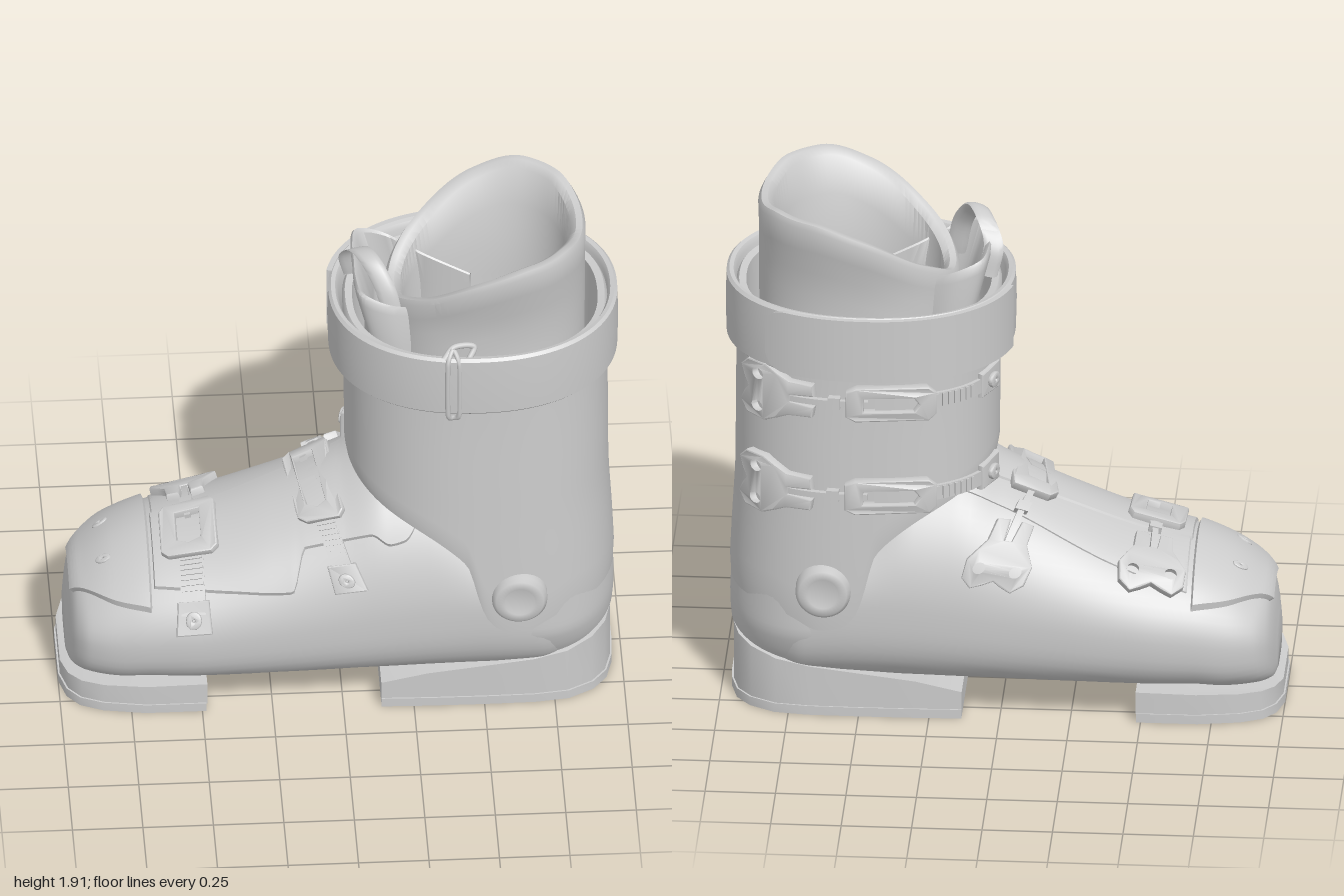
import * as THREE from 'three';
import { toCreasedNormals } from 'three/addons/utils/BufferGeometryUtils.js';

const mat = new THREE.MeshStandardMaterial({ color: 0xcccccc, side: THREE.DoubleSide });
const DEG = Math.PI / 180;
const V = (x, y, z) => new THREE.Vector3(x, y, z);

// Smooth monotone interpolation of table rows [key, value, value, ...]
const curve = rows => x => {
  x = THREE.MathUtils.clamp(x, rows[0][0], rows.at(-1)[0]);
  let i = 0;
  while (i < rows.length - 2 && x > rows[i + 1][0]) i++;
  const h = rows[i + 1][0] - rows[i][0], t = (x - rows[i][0]) / h;
  const d = (k, c) => rows[k] && rows[k + 1] ? (rows[k + 1][c] - rows[k][c]) / (rows[k + 1][0] - rows[k][0]) : null;
  const slope = (k, c) => {
    const a = d(k - 1, c) ?? d(k, c), b = d(k, c) ?? a;
    return a * b <= 0 ? 0 : 2 * a * b / (a + b);
  };
  return rows[i].slice(1).map((p, n) => {
    const c = n + 1, q = rows[i + 1][c];
    return p + (q - p) * t * t * (3 - 2 * t) + h * t * (1 - t) * (slope(i, c) * (1 - t) - slope(i + 1, c) * t);
  });
};

// Grid of points fn(i, j), optionally closed round j
function grid(nu, nv, fn, closed = false) {
  const pos = [], idx = [], cols = closed ? nv : nv + 1;
  for (let i = 0; i <= nu; i++) for (let j = 0; j < cols; j++) pos.push(...fn(i, j).toArray());
  for (let i = 0; i < nu; i++) for (let j = 0; j < nv; j++) {
    const k = (j + 1) % cols, a = i * cols + j, b = a + cols, c = (i + 1) * cols + k, e = i * cols + k;
    idx.push(a, b, c, a, c, e);
  }
  const g = new THREE.BufferGeometry();
  g.setAttribute('position', new THREE.Float32BufferAttribute(pos, 3));
  g.setIndex(idx);
  return toCreasedNormals(g, 0.75);
}

const polar = (a, b, n, t) => (Math.abs(Math.cos(t) / a) ** n + Math.abs(Math.sin(t) / b) ** n) ** (-1 / n);

// Lower shell sections: x, bottom, widest height, top, half width
const X0 = -0.972, X1 = 0.92;
const shellAt = curve([
  [X0, 0.11, 0.19, 0.29, 0.13], [-0.958, 0.09, 0.24, 0.37, 0.2], [-0.94, 0.09, 0.27, 0.425, 0.25],
  [-0.9, 0.09, 0.29, 0.465, 0.3], [-0.8, 0.09, 0.3, 0.535, 0.345], [-0.68, 0.10, 0.32, 0.585, 0.372],
  [-0.5, 0.10, 0.34, 0.63, 0.393], [-0.25, 0.10, 0.37, 0.73, 0.40], [0, 0.10, 0.4, 0.85, 0.40],
  [0.15, 0.10, 0.42, 0.93, 0.40], [0.32, 0.10, 0.44, 0.94, 0.40], [0.5, 0.10, 0.45, 0.8, 0.40],
  [0.7, 0.10, 0.42, 0.65, 0.385], [0.8, 0.10, 0.4, 0.6, 0.32], [0.87, 0.12, 0.38, 0.55, 0.22], [X1, 0.15, 0.36, 0.5, 0.1]]);
function shell(x, phi) {
  const [y0, yc, yt, w] = shellAt(x), up = Math.sin(phi) >= 0;
  const r = polar(w, up ? yt - yc : yc - y0, up ? 1.88 : 3.2, phi);
  return V(x, yc + r * Math.sin(phi), r * Math.cos(phi));
}
// Upright ovals: height, centre x, radius x, radius z
const oval = (rows, n) => {
  const at = curve(rows);
  return (y, th, off = 0) => {
    const [cx, rx, rz] = at(y), r = polar(rx + off, rz + off, n, th);
    return V(cx + r * Math.cos(th), y, r * Math.sin(th));
  };
};
const cuff = oval([[0.35, 0.49, 0.493, 0.425], [0.6, 0.49, 0.482, 0.42], [0.92, 0.49, 0.467, 0.412],
  [1.35, 0.487, 0.467, 0.402], [1.6, 0.485, 0.47, 0.4]], 2.4);
const heelCup = oval([[0.1, 0.66, 0.27, 0.26], [0.18, 0.66, 0.295, 0.32], [0.26, 0.66, 0.313, 0.365],
  [0.34, 0.66, 0.317, 0.388], [0.5, 0.66, 0.305, 0.388]], 2.15);
const strap = oval([[1.3, 0.478, 0.512, 0.443], [1.7, 0.478, 0.512, 0.443]], 2.2);
const liner = oval([[1, 0.51, 0.355, 0.3], [1.6, 0.52, 0.355, 0.305], [1.75, 0.52, 0.355, 0.335], [1.92, 0.52, 0.36, 0.375]], 2.2);

// Point lifted along the surface normal
function lift(surf, u, v, h) {
  const e = 1e-3;
  const du = surf(u + e, v).sub(surf(u - e, v)), dv = surf(u, v + e).sub(surf(u, v - e));
  return surf(u, v).addScaledVector(du.cross(dv).normalize(), h);
}
// Bend a flat part (x across, y along, z up) onto a surface
function wrap(geo, { surf, u, v, R, skew = 0 }) {
  const p = geo.attributes.position;
  for (let i = 0; i < p.count; i++) {
    const t = p.getY(i);
    const q = lift(surf, u - p.getX(i) + skew * Math.abs(t), v - t / R, p.getZ(i));
    p.setXYZ(i, q.x, q.y, q.z);
  }
  return toCreasedNormals(geo, 0.6);
}
// Thin raised panel between two angles (degrees) that vary along u
const panel = (surf, u0, u1, lo, hi, h, n = 60, m = 30) => grid(n, m, (i, j) => {
  const u = u0 + (u1 - u0) * i / n, a = lo(u) * DEG, b = hi(u) * DEG;
  const edge = i === 0 || j === 0 || i === n || j === m;
  return lift(surf, u, a + (b - a) * j / m, edge ? -0.01 : h);
});

const poly = pts => new THREE.Shape(pts.map(p => new THREE.Vector2(...p)));
const hole = (x, y, r) => new THREE.Path().absarc(x, y, r, 0, Math.PI * 2, true);
const plate = (shape, depth, z = -0.005) => new THREE.ExtrudeGeometry(shape, {
  depth, bevelSize: 0.006, bevelThickness: 0.008, bevelSegments: 2, curveSegments: 12 }).translate(0, 0, z);
const bar = (w, y0, y1, h, z = 0) => new THREE.BoxGeometry(w, y1 - y0, h, 2, 10, 1).translate(0, (y0 + y1) / 2, z + h / 2);
const tube = (pts, r, closed, tension) => new THREE.TubeGeometry(
  new THREE.CatmullRomCurve3(pts.map(p => V(...p)), closed, 'catmullrom', tension), 60, r, 8, closed);

export function createModel() {
  const root = new THREE.Group();
  root.name = 'skiBoot';
  const add = (name, geo, parent = root) => {
    const m = new THREE.Mesh(geo, mat);
    m.name = name;
    parent.add(m);
    return m;
  };

  // Lower shell with closed ends, and the rounded cup round the heel
  add('lowerShell', grid(90, 72, (i, j) => {
    const s = THREE.MathUtils.clamp((i - 1) / 88, 0, 1);
    const x = (X0 + X1) / 2 - (X1 - X0) / 2 * Math.cos(Math.PI * s);
    return i === 0 || i === 90 ? V(x, shellAt(x)[1], 0) : shell(x, j / 72 * Math.PI * 2);
  }, true));
  add('heelCup', grid(16, 96, (i, j) => heelCup(0.1 + 0.4 * i / 16, j / 96 * Math.PI * 2), true));

  // Toe cap and the two overlapping instep panels
  const capEdge = curve([[-0.95, 45], [-0.9, 36], [-0.8, 25], [-0.68, 18]]);
  add('toeCap', panel(shell, -0.948, -0.675, x => capEdge(x)[0], x => 180 - capEdge(x)[0], 0.018));
  const lowEdge = curve([[-0.68, 33], [-0.4, 25], [-0.18, 21], [-0.13, 44], [0.1, 45], [0.17, 39], [0.22, 40], [0.3, 58]]);
  const highEdge = curve([[-0.68, 102], [-0.2, 104], [0.3, 110]]);
  const backEdge = curve([[-0.68, 152], [-0.4, 140], [0, 120], [0.3, 116]]);
  add('instepOverlap', panel(shell, -0.672, 0.3, x => lowEdge(x)[0], x => highEdge(x)[0], 0.012, 90));
  add('instepUnderlap', panel(shell, -0.672, 0.3, x => highEdge(x)[0] - 4, x => backEdge(x)[0], 0.005));
  for (const t of [-0.15, 0.15]) {
    const s = new THREE.Shape().absarc(0, t, 0.02, 0, Math.PI * 2);
    s.holes.push(hole(0, t, 0.009));
    add('toeCapScrew', wrap(plate(s, 0.004, 0.012), { surf: shell, u: -0.83, v: Math.PI / 2, R: 0.33 }));
  }

  // Soles: plan outline mirrored about z = 0, raised to a height that varies with x
  const sole = (name, half, y0, top) => {
    const pts = [...half, ...half.slice().reverse().map(([x, z]) => [x, -z])];
    const g = new THREE.ExtrudeGeometry(poly(pts), { depth: 1, bevelEnabled: false }).rotateX(-Math.PI / 2);
    const p = g.attributes.position;
    for (let i = 0; i < p.count; i++) p.setY(i, y0 + p.getY(i) * (top(p.getX(i)) - y0));
    add(name, toCreasedNormals(g, 0.6));
  };
  const toe = [[-0.485, 0.335], [-0.7, 0.335], [-0.85, 0.31], [-0.93, 0.275], [-0.975, 0.22], [-1, 0.13], [-1, 0.05]];
  const heel = [[0.135, 0.345], [0.3, 0.35], [0.5, 0.352], [0.68, 0.35], [0.8, 0.335], [0.89, 0.285], [0.94, 0.22], [0.963, 0.13], [0.968, 0.05]];
  const inset = pts => pts.map(([x, z]) => [x * 0.994, z * 0.985]);
  const toeTop = curve([[-1, 0.09], [-0.95, 0.105], [-0.48, 0.115]]);
  const heelTop = curve([[0.13, 0.1], [0.3, 0.14], [0.7, 0.19], [0.85, 0.22], [0.97, 0.26]]);
  sole('toeSole', toe, 0, () => 0.034);
  sole('toeBlock', inset(toe), 0.03, x => toeTop(x)[0]);
  sole('heelSole', heel, 0, () => 0.034);
  sole('heelBlock', inset(heel), 0.03, x => heelTop(x)[0]);

  // Cuff: lower edge swoops from the instep down to the ankle lobes
  const cuffEdge = curve([[0.02, 0.92], [0.1, 0.88], [0.28, 0.79], [0.4, 0.7], [0.44, 0.65], [0.475, 0.52], [0.505, 0.43],
    [0.56, 0.375], [0.64, 0.36], [0.73, 0.395], [0.82, 0.425], [0.98, 0.43]]);
  add('cuff', grid(22, 160, (i, j) => {
    const th = j / 160 * Math.PI * 2, y0 = cuffEdge(cuff(0.6, th).x)[0];
    if (i === 0) return cuff(y0 + 0.01, th, -0.035);
    if (i >= 20) return cuff([1.565, 1.56, 1.2][i - 20], th, [-0.01, -0.035, -0.04][i - 20]);
    return cuff(y0 + (1.55 - y0) * (i - 1) / 18, th, i === 1 ? -0.006 : 0);
  }, true));
  for (const s of [-1, 1]) {
    const prof = [[0, 0.024], [0.052, 0.024], [0.056, 0.036], [0.085, 0.032], [0.098, 0.018], [0.1, -0.04]];
    const pivot = add('anklePivot', new THREE.LatheGeometry(prof.map(p => new THREE.Vector2(...p)), 36));
    pivot.rotation.x = s * Math.PI / 2;
    pivot.position.set(0.62, 0.52, s * 0.412);
  }

  // Power strap with overlapping end and wire ring
  const band = [[1.38, -0.035], [1.362, -0.025], [1.358, -0.01], [1.368, 0], [1.48, 0.003], [1.592, 0], [1.602, -0.01],
    [1.598, -0.025], [1.58, -0.035], [1.38, -0.035]];
  add('powerStrap', grid(9, 120, (i, j) => strap(band[i][0], j / 120 * Math.PI * 2, band[i][1]), true));
  const flap = new THREE.BoxGeometry(0.238, 1, 0.026, 6, 60, 1);
  const fp = flap.attributes.position;
  for (let i = 0; i < fp.count; i++) {
    const k = Math.max(0, (-0.41 - fp.getY(i)) / 0.09);
    fp.setX(i, fp.getX(i) * (0.5 + 0.5 * Math.sqrt(Math.max(0, 1 - k * k))));
  }
  add('powerStrapEnd', wrap(flap, { surf: strap, u: 1.48, v: -106 * DEG, R: 0.47 }));
  add('strapRing', tube([[0.365, 1.36, 0.437], [0.365, 1.58, 0.437], [0.385, 1.625, 0.405], [0.405, 1.58, 0.437],
    [0.405, 1.36, 0.437], [0.385, 1.335, 0.42]], 0.009, true, 0.3));
  add('strapKeeper', tube([[0.35, 1.6, 0.43], [0.39, 1.625, 0.39], [0.46, 1.61, 0.37], [0.44, 1.57, 0.4]], 0.011, false, 0.5));

  // Liner: tall behind, low in front, hollow and narrowing inside
  const linerTop = curve([[0.15, 1.6], [0.2, 1.67], [0.3, 1.74], [0.5, 1.86], [0.67, 1.915], [0.78, 1.915], [0.88, 1.88]]);
  add('liner', grid(18, 96, (i, j) => {
    const th = j / 96 * Math.PI * 2, top = linerTop(liner(1.7, th).x)[0];
    if (i <= 7) return liner(1.25 + (top - 0.02 - 1.25) * i / 7, th);
    if (i === 8) return liner(top, th, -0.012);
    if (i === 9) return liner(top, th, -0.035);
    if (i === 18) return V(0.5, 0.93, 0);
    const k = (i - 10) / 7;
    return liner(top - 0.02 - (top - 0.96) * k, th, -0.055 - 0.04 * k - 0.1 * k ** 8);
  }, true));
  // Tongue: upright front wall whose sides taper back inside the liner
  const plan = new THREE.CatmullRomCurve3([[0.48, -0.13], [0.33, -0.17], [0.2, -0.225], [0.12, -0.2], [0.1, -0.1], [0.1, 0],
    [0.1, 0.1], [0.12, 0.2], [0.2, 0.225], [0.33, 0.17], [0.48, 0.13]].map(([x, z]) => V(x, 0, z)));
  const tongueRows = [[1.3, 1], [1.5, 1], [1.69, 1], [1.725, 0.98], [1.735, 0.95], [1.72, 0.91], [1.5, 0.9], [1.3, 0.9]];
  add('linerTongue', grid(7, 60, (i, j) => {
    const p = plan.getPoint(j / 60), [y, s] = tongueRows[i];
    const up = Math.max(0, y - 1.5), back = THREE.MathUtils.clamp((p.x - 0.1) / 0.38, 0, 1);
    return V(0.4 + (p.x - 0.4) * s - up * 0.25 * (1 - back), y - up * 0.75 * back, p.z * s);
  }));
  const loop = [[0.19, 1.58, 0.2], [0.16, 1.72, 0.17], [0.11, 1.8, 0.1], [0.07, 1.79, 0.01], [0.04, 1.72, -0.05], [0.06, 1.62, -0.07]];
  const loopCurve = new THREE.CatmullRomCurve3(loop.map(p => V(...p)));
  add('pullLoop', grid(40, 12, (i, j) => {
    const a = j / 12 * Math.PI * 2;
    return loopCurve.getPoint(i / 40).add(V(0.035 * Math.cos(a), 0.01 * Math.sin(a) + 0.008 * Math.cos(a), 0.01 * Math.sin(a)));
  }, true));

  // Buckle: winged lever, rod, window frame, ribbed strap and riveted anchor
  const buckle = (name, at, fw, shift = 0) => {
    const g = new THREE.Group();
    g.name = name;
    root.add(g);
    const put = (part, geo) => add(part, wrap(geo, at), g);
    const side = [[0.025, -0.14], [0.058, -0.145], [0.062, -0.22], [0.085, -0.26], [0.108, -0.3], [0.104, -0.365], [0.07, -0.395], [0.035, -0.38]];
    const w = 0.85 + fw;
    const wing = poly([...side, [0, -0.36], ...side.slice().reverse().map(([x, y]) => [-x, y])]
      .concat([[-0.018, -0.22], [0.018, -0.22]]).map(([x, y]) => [x * w, y + shift]));
    for (const s of [-1, 1]) wing.holes.push(hole(s * 0.064 * w, -0.325 + shift, 0.021));
    put('lever', plate(wing, 0.03));
    const f = fw / 2, a = -0.03 + shift * 0.7, b = 0.24;
    put('rod', bar(0.022, -0.26 + shift, a + 0.07, 0.02, 0.008));
    put('rodNut', bar(0.045, -0.09 + shift, -0.05 + shift, 0.028, 0.004));
    const frame = poly([[f - 0.015, a], [f, a + 0.03], [f, b - 0.02], [f - 0.02, b], [0.02 - f, b], [-f, b - 0.02], [-f, a + 0.03], [0.015 - f, a]]);
    const k = f * 0.52;
    frame.holes.push(new THREE.Path([[k, a + 0.05], [-k, a + 0.05], [-k, b - 0.06], [0, b - 0.04], [k, b - 0.06]].map(p => new THREE.Vector2(...p))));
    put('frame', plate(frame, 0.026, 0.004));
    const sw = fw * 0.45;
    put('ratchetStrap', bar(sw, 0.05, 0.46, 0.014));
    for (let i = 0; i < 7; i++) put('ratchetTooth', bar(sw * 0.9, 0.25 + i * 0.02, 0.26 + i * 0.02, 0.006, 0.013));
    const q = 0.025 + fw * 0.13;
    put('anchor', plate(poly([[q, 0.42], [q + 0.008, 0.52], [-q - 0.008, 0.52], [-q, 0.42]]), 0.016));
    const rivet = new THREE.Shape().absarc(0, 0.475, 0.022, 0, Math.PI * 2);
    rivet.holes.push(hole(0, 0.475, 0.01));
    put('rivet', plate(rivet, 0.004, 0.02));
  };
  buckle('toeBuckle', { surf: shell, u: -0.53, v: Math.PI / 2, R: 0.36 }, 0.19);
  buckle('instepBuckle', { surf: shell, u: -0.13, v: Math.PI / 2, R: 0.43, skew: 0.3 }, 0.15, -0.14);
  buckle('upperCuffBuckle', { surf: cuff, u: 1.26, v: -90 * DEG, R: 0.4 }, 0.12, -0.02);
  buckle('lowerCuffBuckle', { surf: cuff, u: 0.9, v: -90 * DEG, R: 0.4 }, 0.12, -0.02);
  return root;
}
